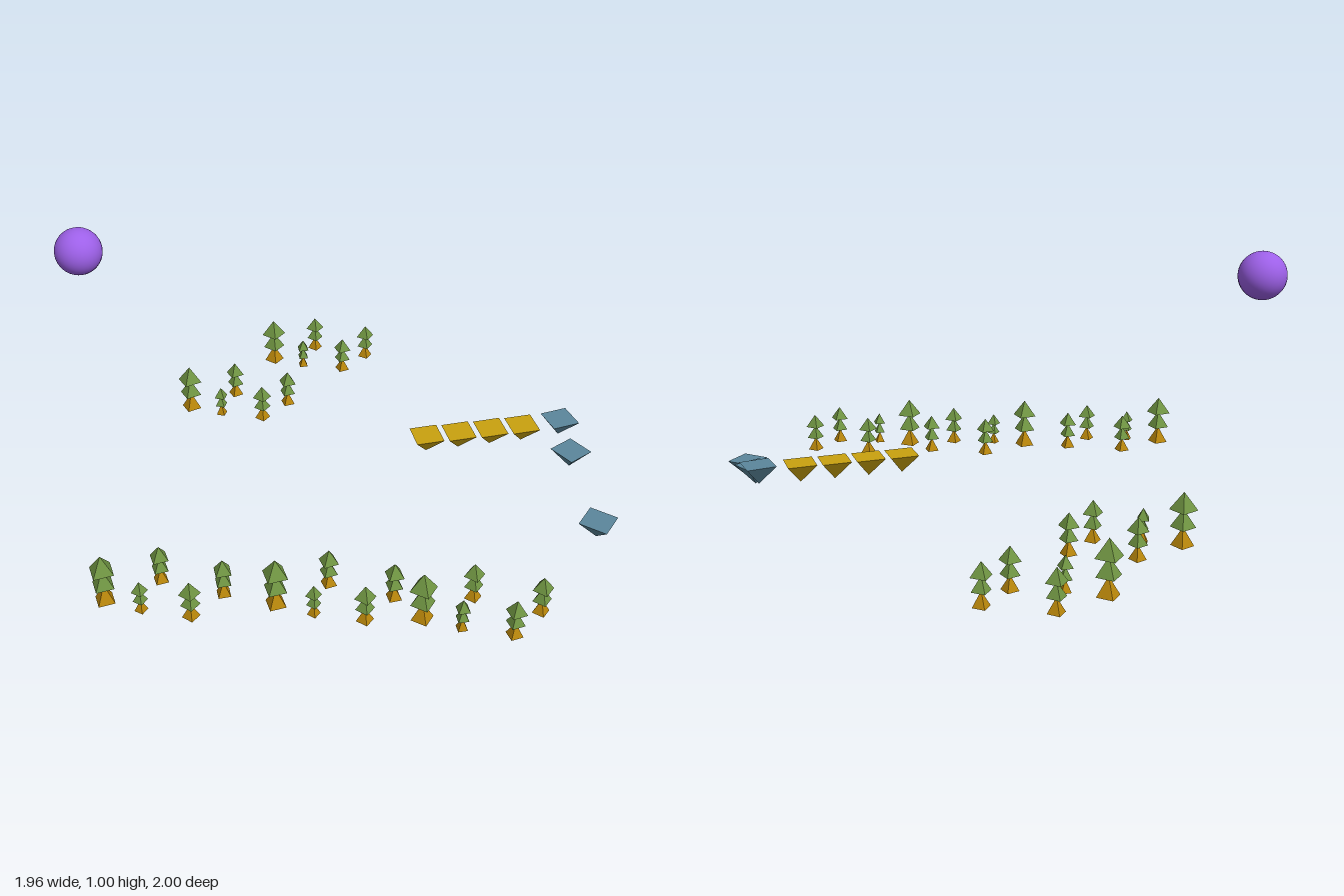
import * as THREE from 'three';

const mat = (color, flatShading = true) => new THREE.MeshStandardMaterial({ color, flatShading });
const rad = THREE.MathUtils.degToRad;

export function createModel() {
  const root = new THREE.Group();
  const leafMat = mat(0x6f9442), trunkMat = mat(0xb8860b);
  const goldMat = mat(0xc9a20f), blueMat = mat(0x5b879c);

  // Four-sided pyramid standing on y = bottom, corners on the axes
  function pyramid(name, radius, height, bottom, material, inverted = false) {
    const geo = new THREE.ConeGeometry(radius, height, 4);
    if (inverted) geo.rotateX(Math.PI);
    geo.translate(0, bottom + height / 2, 0);
    const mesh = new THREE.Mesh(geo, material);
    mesh.name = name;
    return mesh;
  }

  // Tree: a trunk pyramid and two tiers of foliage
  function tree(width, height) {
    const g = new THREE.Group();
    g.name = 'tree';
    g.add(
      pyramid('trunk', 0.042, 0.07, 0, trunkMat),
      pyramid('lowerFoliage', 0.046, 0.068, 0.07, leafMat),
      pyramid('upperFoliage', 0.051, 0.067, 0.135, leafMat)
    );
    g.scale.set(width, height, width);
    return g;
  }

  // Every grove repeats the same five trees: dx, dz, width, height
  const grovePlan = [
    [0, 0, 1, 1],
    [0.2, -0.067, 0.76, 0.77],
    [0.122, 0.071, 0.58, 0.64],
    [0.29, 0.133, 0.76, 0.77],
    [0.413, 0.043, 0.76, 0.77],
  ];
  // Grove origin x, z and the turn of each tree in degrees
  const groves = [
    [-0.103, -0.898, [0, 0, 45, 60, 5]],
    [-0.508, -0.587, [65, 65, 20, 0, 55]],
    [-0.91, 0.54, [55, 55, 5, 0, 48]],
    [-0.323, 0.667, [53, 57, 0, 0, 50]],
    [0.163, 0.827, [5, 0, 45, 55, 0]],
  ];
  for (const [x, z, turns] of groves) {
    const grove = new THREE.Group();
    grove.name = 'grove';
    grove.position.set(x, 0, z);
    grovePlan.forEach(([dx, dz, w, h], i) => {
      const t = tree(w, h);
      t.position.set(dx, 0, dz);
      t.rotation.y = rad(turns[i]);
      grove.add(t);
    });
    root.add(grove);
  }

  // Row of golden floating platforms
  for (let i = 0; i < 4; i++) {
    const p = pyramid('goldenPlatform', 0.077, 0.075, 0.14, goldMat, true);
    p.position.set(0.36 + i * 0.1285, 0, 0.077);
    p.rotation.y = rad(48);
    root.add(p);
  }

  // Blue platforms stepping down toward the front: z, bottom, turn
  for (const [z, bottom, turn] of [[0.077, 0.148, 55], [0.222, 0.098, 72], [0.546, 0.014, 2]]) {
    const p = pyramid('bluePlatform', 0.078, 0.075, bottom, blueMat, true);
    p.position.set(0.9, 0, z);
    p.rotation.y = rad(turn);
    root.add(p);
  }

  // Floating orb
  const orb = new THREE.Mesh(new THREE.SphereGeometry(0.089, 32, 24), mat(0x9d60e8, false));
  orb.name = 'orb';
  orb.position.set(-0.892, 0.911, -0.359);
  root.add(orb);

  return root;
}
